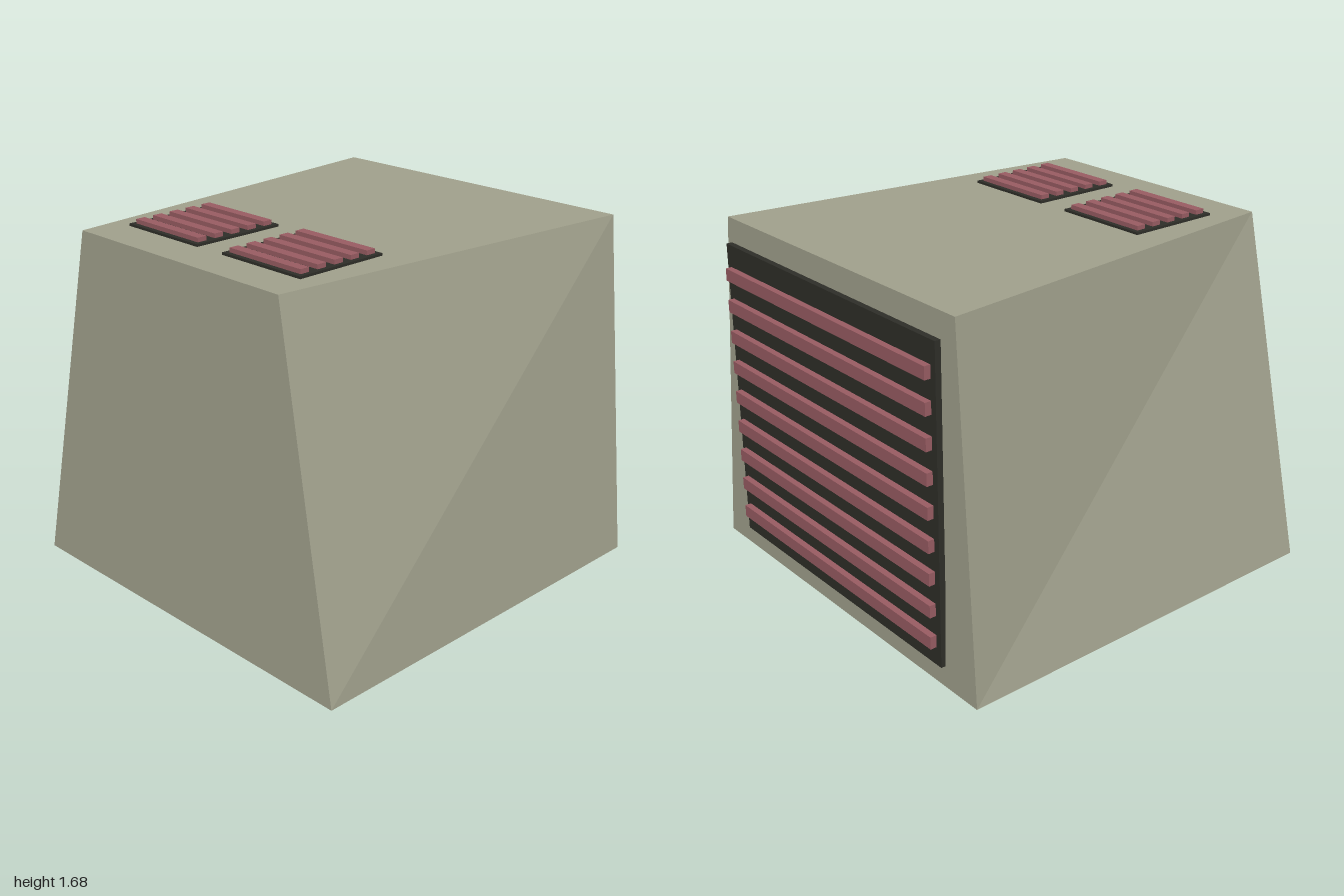
import * as THREE from 'three';

const shellMat = new THREE.MeshStandardMaterial({ color: 0xa0a08c, flatShading: true });
const frameMat = new THREE.MeshStandardMaterial({ color: 0x2e2e28, flatShading: true });
const slatMat = new THREE.MeshStandardMaterial({ color: 0x985c62, flatShading: true });

function box(name, w, h, d, x, y, z, material) {
  const mesh = new THREE.Mesh(new THREE.BoxGeometry(w, h, d), material);
  mesh.position.set(x, y, z);
  mesh.name = name;
  return mesh;
}

// Tapered housing: the top narrows, more at the front than at the back
function housing() {
  const geo = new THREE.BoxGeometry(2, 1.645, 2).translate(0, 0.8225, 0);
  const p = geo.attributes.position;
  for (let i = 0; i < p.count; i++) {
    const top = p.getY(i) > 0.8;
    const front = p.getZ(i) > 0;
    const halfWidth = !top ? 0.972 : front ? 0.63 : 0.825;
    const z = front ? (top ? 0.94 : 1) : (top ? -0.92 : -0.95);
    p.setXYZ(i, Math.sign(p.getX(i)) * halfWidth, p.getY(i), z);
  }
  geo.computeVertexNormals();
  const mesh = new THREE.Mesh(geo, shellMat);
  mesh.name = 'housing';
  return mesh;
}

// Small square vent lying on the top
function topVent(name, x) {
  const vent = new THREE.Group();
  vent.name = name;
  vent.add(box('topVentFrame', 0.466, 0.016, 0.458, x, 1.648, 0.521, frameMat));
  for (let i = 0; i < 5; i++) {
    vent.add(box('topVentSlat', 0.424, 0.02, 0.046, x, 1.666, 0.521 + (i - 2) * 0.092, slatMat));
  }
  return vent;
}

// Large upright grille on the back
function backGrille() {
  const grille = new THREE.Group();
  grille.name = 'backGrille';
  grille.add(box('backGrilleFrame', 1.53, 1.443, 0.028, 0, 0.822, -0.956, frameMat));
  for (let i = 0; i < 9; i++) {
    grille.add(box('backGrilleSlat', 1.47, 0.058, 0.03, 0, 0.814 + (i - 4) * 0.1495, -0.985, slatMat));
  }
  return grille;
}

export function createModel() {
  const model = new THREE.Group();
  model.name = 'ventedHousing';
  model.add(housing(), topVent('leftTopVent', 0.314), topVent('rightTopVent', -0.314), backGrille());
  return model;
}
